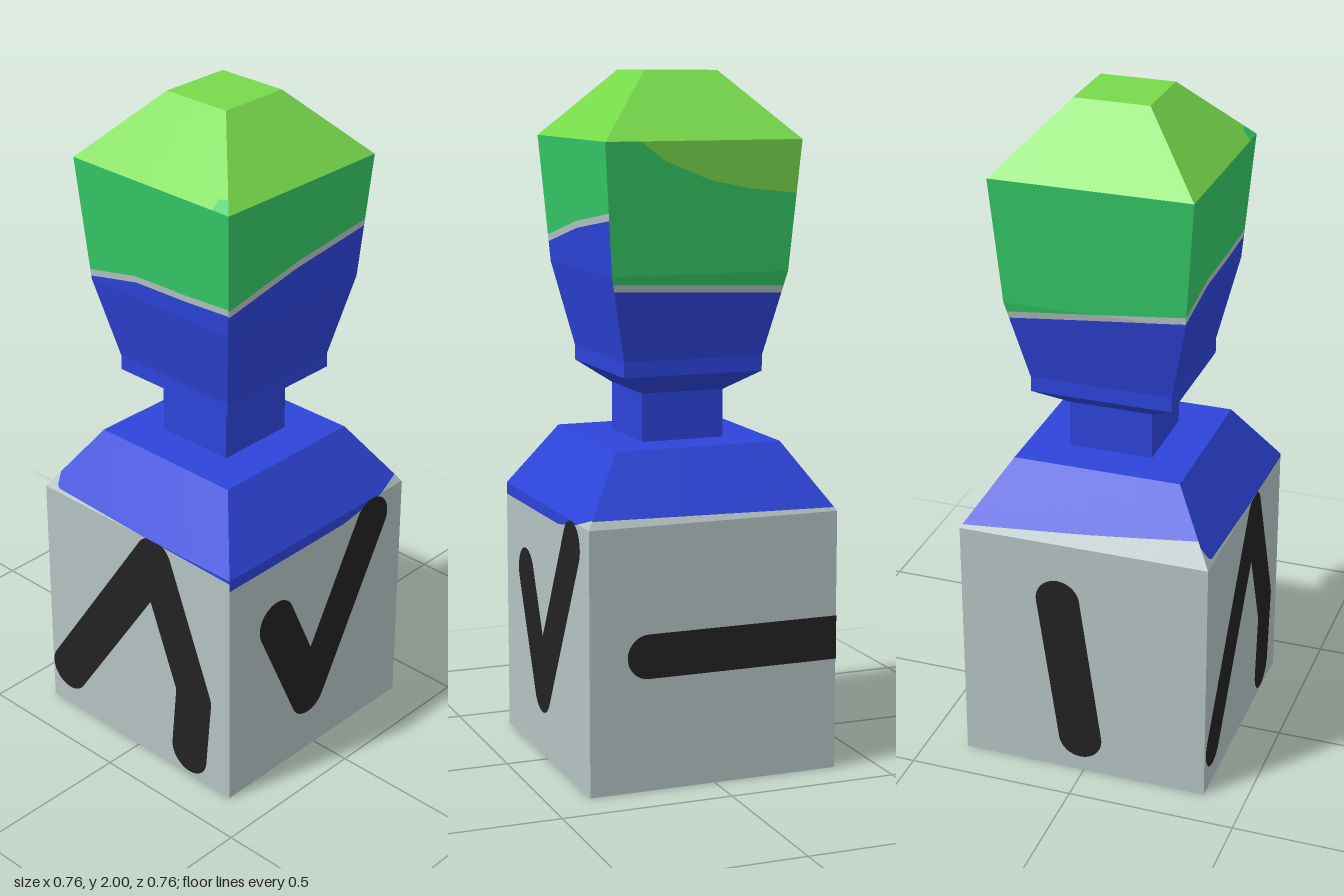
import * as THREE from 'three';

const paint = (name, color) => {
  const m = new THREE.MeshStandardMaterial({ color });
  m.name = name;
  return m;
};

// Square body: [height, half width]
const PROFILE = [
  [0, 0.375], [0.76, 0.375], [0.95, 0.25], [0.95, 0.125], [1.09, 0.125],
  [1.15, 0.21], [1.195, 0.21], [1.44, 0.265], [1.81, 0.293], [2, 0.11],
];

// Paint edges per side (front, left, back, right) as [across -1..1, height], and brush strokes
const SIDES = [
  {
    name: 'front',
    base: [[-1, 0.725], [0.3, 0.728], [0.65, 0.75], [1, 0.785]],
    trim: [[-1, 1.498], [0, 1.557], [1, 1.595]],
    crown: [[-1, 1.81], [1, 1.81]],
    strokes: [[[-0.18, 0.525], [-0.035, 0.205]], [[-0.035, 0.205], [0.235, 0.69]]],
    radius: 0.072,
  },
  {
    name: 'left',
    base: [[-1, 0.782], [1, 0.77]],
    trim: [[-1, 1.397], [1, 1.377]],
    crown: [[-1, 1.81], [-0.65, 1.81], [-0.4, 1.755], [0.07, 1.7], [0.5, 1.675], [1, 1.66]],
    strokes: [[[-0.2, 0.39], [0.45, 0.39]]],
    radius: 0.064,
  },
  {
    name: 'back',
    base: [[-1, 0.77], [0, 0.795], [1, 0.825]],
    trim: [[-1, 1.39], [1, 1.45]],
    crown: [[-1, 1.81], [1, 1.81]],
    strokes: [[[-0.075, 0.575], [-0.01, 0.115]]],
    radius: 0.067,
  },
  {
    name: 'right',
    base: [[-1, 0.81], [-0.9, 0.77], [1, 0.75]],
    trim: [[-1, 1.45], [-0.3, 1.49], [0.4, 1.495], [1, 1.505]],
    crown: [[-1, 1.81], [0.8, 1.81], [0.88, 1.835], [1, 1.84]],
    strokes: [[[0.08, 0.7], [-0.3, 0.135]], [[0.08, 0.7], [0.235, 0.3]], [[0.235, 0.3], [0.215, 0.085]]],
    radius: 0.07,
  },
];

// Straight-line interpolation through a short point list
function along(points, u) {
  for (let i = 1; i < points.length; i++) {
    const [a, ya] = points[i - 1], [b, yb] = points[i];
    if (u <= b + 1e-9) return ya + (yb - ya) * (u - a) / (b - a);
  }
  return points[points.length - 1][1];
}

// One painted area of a side, between two height curves, folded over the profile
function paintedBand(low, high, columns = 48) {
  const positions = [];
  for (let s = 1; s < PROFILE.length; s++) {
    const [ya, wa] = PROFILE[s - 1], [yb, wb] = PROFILE[s];
    if (ya === yb) continue;
    const clamp = (y) => Math.min(yb, Math.max(ya, y));
    const point = (u, y) => {
      const w = wa + (wb - wa) * (y - ya) / (yb - ya);
      return [u * w, y, w];
    };
    for (let c = 0; c < columns; c++) {
      const u0 = -1 + 2 * c / columns, u1 = -1 + 2 * (c + 1) / columns;
      const l0 = clamp(low(u0)), l1 = clamp(low(u1));
      const h0 = clamp(high(u0)), h1 = clamp(high(u1));
      const A = point(u0, l0), B = point(u1, l1), C = point(u1, h1), D = point(u0, h0);
      if (h1 - l1 > 1e-6) positions.push(...A, ...B, ...C);
      if (h0 - l0 > 1e-6) positions.push(...A, ...C, ...D);
    }
  }
  const geometry = new THREE.BufferGeometry();
  geometry.setAttribute('position', new THREE.Float32BufferAttribute(positions, 3));
  geometry.computeVertexNormals();
  return geometry;
}

// Round-ended brush stroke, trimmed to the block face
function strokeGeometry([ax, ay], [bx, by], r) {
  const angle = Math.atan2(by - ay, bx - ax);
  const shape = new THREE.Shape();
  shape.absarc(bx, by, r, angle - Math.PI / 2, angle + Math.PI / 2, false);
  shape.absarc(ax, ay, r, angle + Math.PI / 2, angle + Math.PI * 1.5, false);
  const geometry = new THREE.ShapeGeometry(shape, 12);
  const p = geometry.attributes.position;
  for (let i = 0; i < p.count; i++) {
    p.setXYZ(i, Math.max(-0.375, Math.min(0.375, p.getX(i))), Math.min(0.762, p.getY(i)), 0.378);
  }
  return geometry;
}

export function createModel() {
  const model = new THREE.Group();
  model.name = 'spinningTop';
  const grey = paint('paleGrey', 0xb5c3c3);
  const blue = paint('blue', 0x2d44da);
  const green = paint('green', 0x34c966);
  const lime = paint('lime', 0x78da4b);
  const black = paint('black', 0x222222);

  const add = (parent, name, geometry, material) => {
    const mesh = new THREE.Mesh(geometry, material);
    mesh.name = name;
    parent.add(mesh);
    return mesh;
  };

  // Four painted sides
  SIDES.forEach((side, k) => {
    const group = new THREE.Group();
    group.name = side.name + 'Side';
    group.rotation.y = k * Math.PI / 2;
    model.add(group);

    const floor = () => 0, top = () => 2;
    const base = (u) => along(side.base, u);
    const trim = (u) => along(side.trim, u);
    const trimTop = (u) => trim(u) + 0.02;
    const crown = (u) => along(side.crown, u);
    add(group, 'block', paintedBand(floor, base), grey);
    add(group, 'shoulderAndNeck', paintedBand(base, trim), blue);
    add(group, 'trimLine', paintedBand(trim, trimTop), grey);
    add(group, 'head', paintedBand(trimTop, crown), green);
    add(group, 'crown', paintedBand(crown, top), lime);
    side.strokes.forEach(([a, b]) => add(group, 'brushStroke', strokeGeometry(a, b, side.radius), black));
  });

  // Flat faces: underside, shoulder shelf and crown cap
  const flat = (name, size, y, material, turn = -1) => {
    const mesh = add(model, name, new THREE.PlaneGeometry(size, size), material);
    mesh.rotation.x = turn * Math.PI / 2;
    mesh.position.y = y;
  };
  flat('underside', 0.75, 0, blue, 1);
  flat('shoulderShelf', 0.5, 0.95, blue);
  flat('crownCap', 0.22, 2, lime);

  return model;
}
